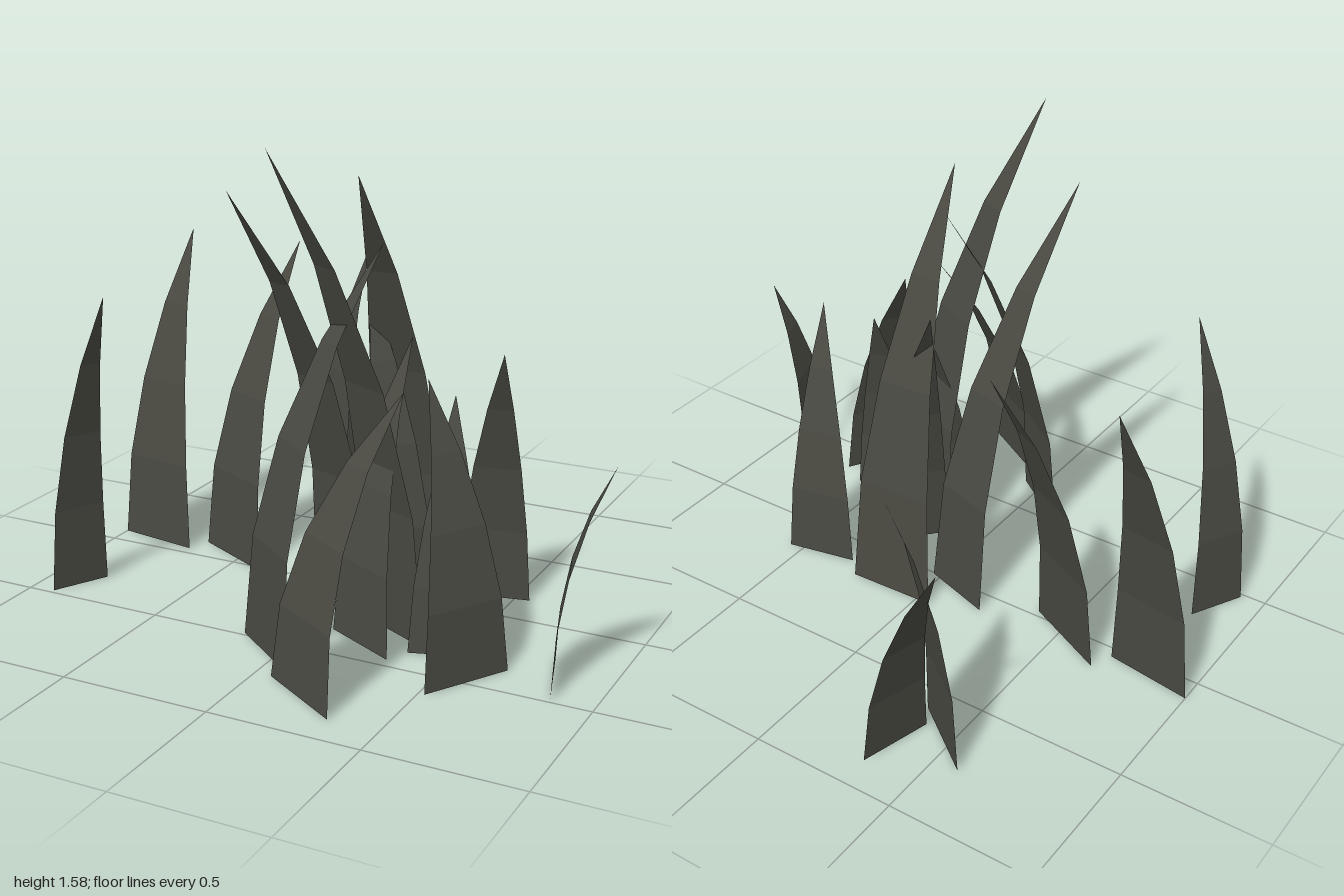
import * as THREE from 'three';

// Each blade: base corner A (x, z), base corner B (x, z), tip (x, y, z)
const BLADES = [
  [[-0.585, -0.765], [-0.35, -0.585], [-0.385, 0.98, -0.85]],
  [[-0.325, -0.89], [-0.39, -0.65], [-0.565, 0.78, -0.85]],
  [[-1.0, -0.085], [-0.705, -0.04], [-0.815, 1.11, -0.3]],
  [[-0.675, -0.12], [-0.385, 0.025], [-0.4, 1.1, -0.33]],
  [[-0.915, 0.485], [-0.82, 0.305], [-0.68, 1.04, 0.46]],
  [[-0.215, -0.085], [0.03, -0.005], [-0.245, 1.41, 0.42]],
  [[-0.05, -0.155], [0.255, -0.165], [0.11, 1.455, 0.235]],
  [[0.115, 0.2], [0.385, 0.335], [0.0, 1.58, 0.605]],
  [[0.13, 0.23], [0.295, 0.04], [-0.005, 1.06, -0.07]],
  [[-0.17, 0.485], [0.07, 0.665], [0.225, 1.27, 0.295]],
  [[0.07, 0.335], [0.32, 0.46], [0.257, 0.95, 0.15]],
  [[0.355, 0.385], [0.59, 0.31], [0.43, 0.8, 0.21]],
  [[0.52, 0.62], [0.68, 0.36], [0.41, 0.89, 0.37]],
  [[0.055, 0.715], [0.335, 0.885], [0.415, 0.9, 0.55]],
  [[0.785, 0.23], [0.865, 0.49], [0.995, 0.7, 0.345]],
  [[0.31, -0.105], [0.55, -0.155], [0.525, 0.9, 0.055]],
];
const SEGMENTS = 4;

// Thin tapering sheet that starts upright and bends towards its tip
function bladeGeometry([ax, az], [bx, bz], [tx, ty, tz]) {
  const mx = (ax + bx) / 2, mz = (az + bz) / 2;
  const row = (t) => {
    const lean = t * t;
    const half = (1 - Math.pow(t, 1.5)) / 2;
    const x = mx + (tx - mx) * lean;
    const y = ty * t * (1.1 - 0.1 * t);
    const z = mz + (tz - mz) * lean;
    const dx = (bx - ax) * half, dz = (bz - az) * half;
    return [[x - dx, y, z - dz], [x + dx, y, z + dz]];
  };
  const points = [];
  for (let i = 0; i < SEGMENTS; i++) {
    const [l0, r0] = row(i / SEGMENTS);
    const [l1, r1] = row((i + 1) / SEGMENTS);
    points.push(l0, r0, l1);
    if (i < SEGMENTS - 1) points.push(r0, r1, l1);
  }
  const geometry = new THREE.BufferGeometry();
  geometry.setAttribute('position', new THREE.Float32BufferAttribute(points.flat(), 3));
  geometry.computeVertexNormals(); // unshared corners give flat facets
  return geometry;
}

export function createModel() {
  const group = new THREE.Group();
  group.name = 'grassTuft';
  const material = new THREE.MeshStandardMaterial({ color: 0x4a4a43, side: THREE.DoubleSide });
  material.name = 'darkGrass';
  BLADES.forEach(([a, b, tip], i) => {
    const blade = new THREE.Mesh(bladeGeometry(a, b, tip), material);
    blade.name = `grassBlade${i + 1}`;
    group.add(blade);
  });
  return group;
}
